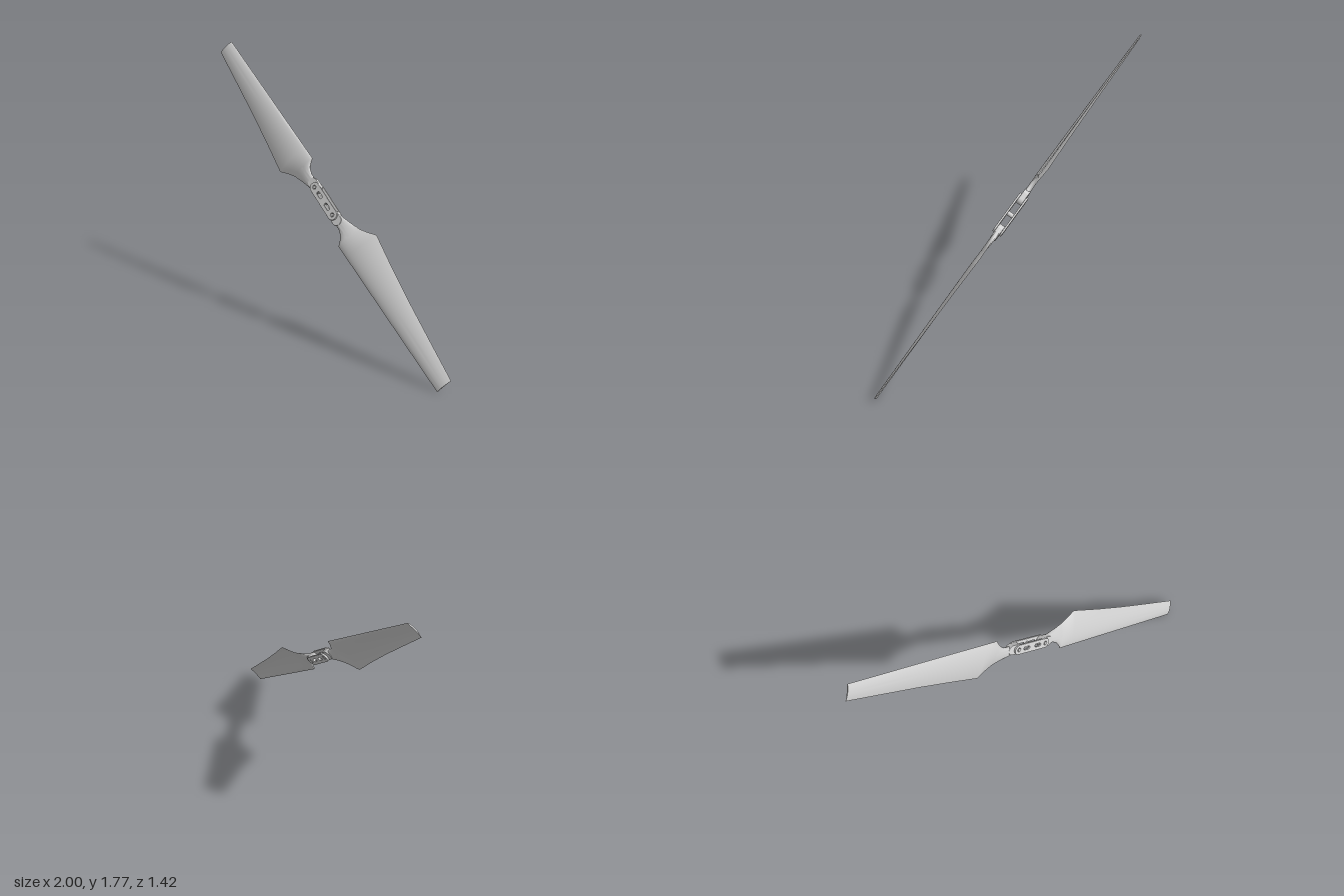
import * as THREE from 'three';
import { toCreasedNormals } from 'three/addons/utils/BufferGeometryUtils.js';

const material = new THREE.MeshStandardMaterial({ color: 0xcccccc });

// Local frame: x = span, y = chord, z = rotation axis
const PIVOT = 0.12;

// Blade stations: span, leading y, trailing y, leading z, trailing z, thickness, camber, roundness (1 = shank, 0 = airfoil)
const STATIONS = [
  [0.120, -0.034, 0.034, 0, 0, 0.036, 0, 1],
  [0.160, -0.030, 0.040, 0, -0.001, 0.036, 0, 1],
  [0.190, -0.025, 0.050, 0.003, -0.004, 0.033, 0.001, 0.9],
  [0.220, -0.025, 0.059, 0.005, -0.007, 0.030, 0.002, 0.7],
  [0.254, -0.035, 0.071, 0.006, -0.010, 0.027, 0.004, 0.45],
  [0.280, -0.054, 0.081, 0.006, -0.012, 0.025, 0.006, 0.25],
  [0.298, -0.074, 0.087, 0.005, -0.013, 0.024, 0.008, 0.1],
  [0.308, -0.0885, 0.092, 0.004, -0.014, 0.023, 0.010, 0],
  [0.358, -0.087, 0.122, 0.004, -0.016, 0.022, 0.012, 0],
  [0.395, -0.086, 0.150, 0.004, -0.017, 0.022, 0.013, 0],
  [0.412, -0.0855, 0.160, 0.004, -0.017, 0.022, 0.013, 0],
  [0.650, -0.079, 0.130, 0.003, -0.011, 0.018, 0.012, 0],
  [0.900, -0.072, 0.103, 0.002, -0.007, 0.015, 0.011, 0],
  [1.200, -0.0635, 0.077, 0.001, -0.003, 0.012, 0.009, 0],
  [1.462, -0.056, 0.055, 0, 0, 0.009, 0.007, 0],
];
const CHORD_STEPS = 16;

// Closed section ring: over the top from leading to trailing edge, back underneath
function section([span, y0, y1, z0, z1, thick, camber, round]) {
  const ring = [];
  for (let j = 0; j < CHORD_STEPS * 2; j++) {
    const top = j <= CHORD_STEPS;
    const s = (1 - Math.cos((Math.PI * j) / CHORD_STEPS)) / 2;
    const foil = 2.6 * Math.sqrt(s) * (1 - s);
    const shank = Math.sqrt(Math.max(0, 1 - (2 * s - 1) ** 4));
    const half = (thick / 2) * THREE.MathUtils.lerp(foil, shank, round);
    const mid = THREE.MathUtils.lerp(z0, z1, s) + camber * 4 * s * (1 - s);
    ring.push(span, THREE.MathUtils.lerp(y0, y1, s), mid + (top ? half : -half));
  }
  return ring;
}

function bladeGeometry() {
  const n = CHORD_STEPS * 2;
  const positions = STATIONS.flatMap(section);
  const index = [];
  for (let i = 0; i < STATIONS.length - 1; i++) {
    for (let j = 0; j < n; j++) {
      const a = i * n + j, b = i * n + ((j + 1) % n);
      index.push(a, a + n, b + n, a, b + n, b);
    }
  }
  // End caps joined strip-wise between upper and lower surfaces
  const last = (STATIONS.length - 1) * n;
  for (let j = 0; j < CHORD_STEPS; j++) {
    const a = j, b = j + 1, c = n - j - 1, d = (n - j) % n;
    index.push(a, b, c, a, c, d);
    index.push(last + a, last + c, last + b, last + a, last + d, last + c);
  }
  const g = new THREE.BufferGeometry();
  g.setAttribute('position', new THREE.Float32BufferAttribute(positions, 3));
  g.setIndex(index);
  return toCreasedNormals(g, 0.7);
}

// Rounded slot outline running along x
function stadium(path, cx, half, r) {
  path.absarc(cx + half, 0, r, -Math.PI / 2, Math.PI / 2, false);
  path.absarc(cx - half, 0, r, Math.PI / 2, Math.PI * 1.5, false);
  path.closePath();
  return path;
}

function extruded(shape, depth, bevel) {
  const g = new THREE.ExtrudeGeometry(shape, {
    depth: depth - 2 * bevel, bevelEnabled: bevel > 0, bevelSize: bevel,
    bevelThickness: bevel, bevelOffset: -bevel, bevelSegments: 2, curveSegments: 16,
  });
  return g.translate(0, 0, -depth / 2 + bevel);
}

function add(parent, name, geometry, x = 0, y = 0, z = 0) {
  const mesh = new THREE.Mesh(geometry, material);
  mesh.name = name;
  mesh.position.set(x, y, z);
  parent.add(mesh);
  return mesh;
}

function pin(radius, height) {
  return new THREE.CylinderGeometry(radius, radius, height, 20).rotateX(Math.PI / 2);
}

export function createModel() {
  const model = new THREE.Group();
  model.name = 'foldingPropeller';
  const propeller = new THREE.Group();
  propeller.name = 'propeller';
  model.add(propeller);

  // Hub: two slotted plates
  const plate = stadium(new THREE.Shape(), 0, PIVOT, 0.034);
  for (const side of [-1, 1]) {
    plate.holes.push(stadium(new THREE.Path(), side * 0.05, 0.016, 0.011));
    const hole = new THREE.Path();
    hole.absarc(side * PIVOT, 0, 0.013, 0, Math.PI * 2);
    plate.holes.push(hole);
  }
  const plateGeometry = extruded(plate, 0.013, 0.002);
  for (const z of [-0.027, 0.027]) add(propeller, 'hubPlate', plateGeometry, 0, 0, z);

  // Central spacer between the plates
  add(propeller, 'hubSpacer', pin(0.016, 0.044));

  // Two blades, half a turn apart
  const blade = bladeGeometry();
  const knuckle = extruded(stadium(new THREE.Shape(), 0.142, 0.022, 0.034), 0.04, 0.003);
  for (const turn of [0, Math.PI]) {
    const arm = new THREE.Group();
    arm.name = 'bladeAssembly';
    arm.rotation.z = turn;
    add(arm, 'blade', blade);
    add(arm, 'bladeKnuckle', knuckle);
    add(arm, 'pivotPin', pin(0.0095, 0.068), PIVOT);
    propeller.add(arm);
  }

  // Tilt the whole propeller into its resting pose
  const span = new THREE.Vector3(0.658, -0.581, 0.48).normalize();
  const chord = new THREE.Vector3(-0.245, 0.4376, 0.865).cross(span).normalize();
  const axis = span.clone().cross(chord);
  propeller.setRotationFromMatrix(new THREE.Matrix4().makeBasis(span, chord, axis));
  propeller.position.y = 0.894;
  return model;
}
